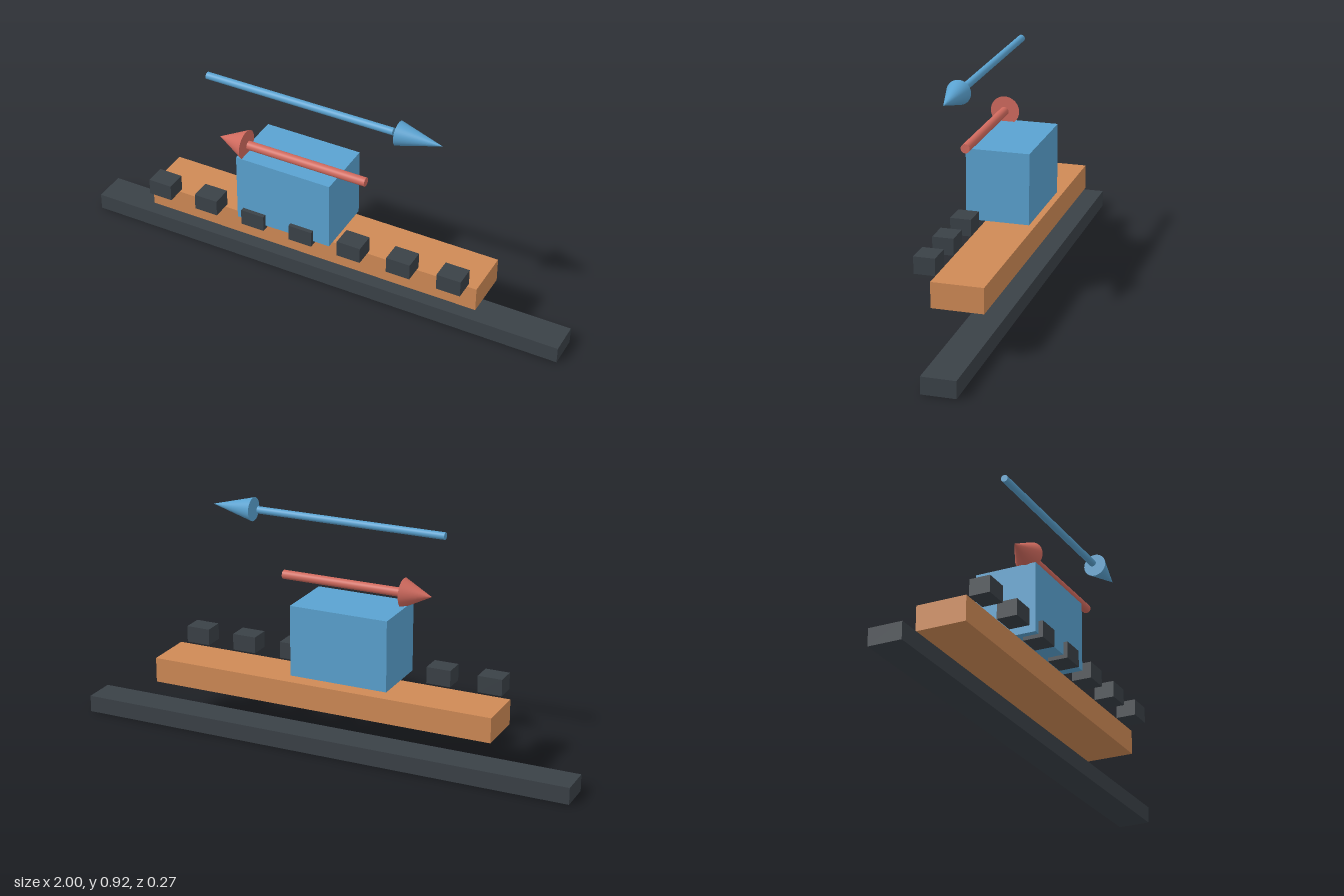
import * as THREE from 'three';

const material = (name, color) => {
  const m = new THREE.MeshStandardMaterial({ color });
  m.name = name;
  return m;
};

export function createModel() {
  const model = new THREE.Group();
  model.name = 'slidingBlockDiagram';
  const blue = material('blue', 0x5aa2d0);
  const red = material('red', 0xd06a5e);
  const wood = material('woodBrown', 0xce8955);
  const dark = material('charcoal', 0x3a4147);

  // Box given by its extents on each axis
  function box(name, mat, [x0, x1], [y0, y1], [z0, z1]) {
    const mesh = new THREE.Mesh(new THREE.BoxGeometry(x1 - x0, y1 - y0, z1 - z0), mat);
    mesh.position.set((x0 + x1) / 2, (y0 + y1) / 2, (z0 + z1) / 2);
    mesh.name = name;
    model.add(mesh);
  }

  // Arrow along x: shaft from tail to neck, head from collar to tip
  function arrow(name, mat, y, z, { tail, neck, collar, tip, shaftRadius, headRadius }) {
    const group = new THREE.Group();
    group.name = name;
    group.position.set(0, y, z);
    const shaft = new THREE.Mesh(
      new THREE.CylinderGeometry(shaftRadius, shaftRadius, Math.abs(neck - tail), 32), mat);
    shaft.name = 'shaft';
    shaft.rotation.z = -Math.PI / 2;
    shaft.position.x = (tail + neck) / 2;
    const head = new THREE.Mesh(new THREE.ConeGeometry(headRadius, Math.abs(tip - collar), 40), mat);
    head.name = 'head';
    head.rotation.z = -Math.sign(tip - collar) * Math.PI / 2;
    head.position.x = (collar + tip) / 2;
    group.add(shaft, head);
    model.add(group);
  }

  // Base rail, plank and sliding block
  box('baseRail', dark, [-1, 1], [0, 0.066], [-0.134, -0.005]);
  box('plank', wood, [-0.695, 0.691], [0.181, 0.279], [-0.134, 0.062]);
  box('slidingBlock', blue, [-0.28, 0.112], [0.303, 0.58], [-0.127, 0.118]);

  // Row of tick blocks along the front
  for (let i = 0; i < 7; i++) {
    const x = -0.615 + i * 0.204;
    box('tickBlock', dark, [x - 0.048, x + 0.048], [0.288, 0.353], [0.055, 0.135]);
  }

  // Direction arrows
  arrow('upperArrow', blue, 0.869, 0.062,
    { tail: -0.425, neck: 0.339, collar: 0.358, tip: 0.53, shaftRadius: 0.014, headRadius: 0.046 });
  arrow('lowerArrow', red, 0.622, 0.078,
    { tail: 0.241, neck: -0.248, collar: -0.257, tip: -0.37, shaftRadius: 0.0175, headRadius: 0.057 });

  return model;
}
